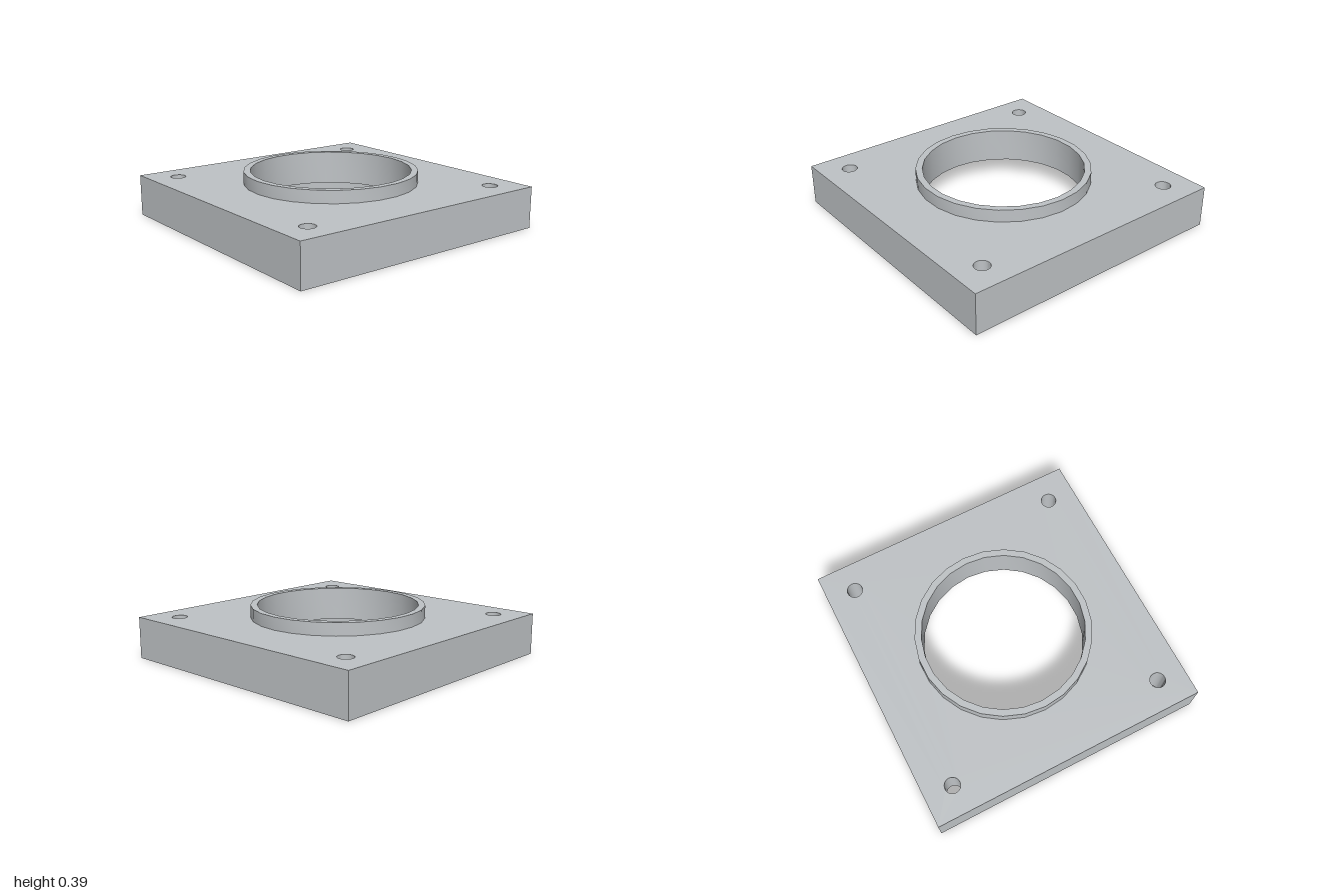
import * as THREE from 'three';
import { toCreasedNormals } from 'three/addons/utils/BufferGeometryUtils.js';

const SIDES = 26;
const TOP = 0.3, RECESS_TOP = 0.145, COLLAR_TOP = 0.39;
const COLLAR_R = 0.623, BORE_R = 0.575, RECESS_R = 0.86;
const BOLT_R = 0.055, BOLT_POS = 0.796;
const BOLTS = [[1, 1], [1, -1], [-1, 1], [-1, -1]].map(([x, z]) => [x * BOLT_POS, z * BOLT_POS]);

// square face with a centre opening and four bolt holes
function plateFace(openingRadius) {
  const shape = new THREE.Shape([[-1, -1], [1, -1], [1, 1], [-1, 1]].map(p => new THREE.Vector2(...p)));
  for (const [x, y, r] of [[0, 0, openingRadius], ...BOLTS.map(b => [...b, BOLT_R])]) {
    shape.holes.push(new THREE.Path().absarc(x, y, r, 0, Math.PI * 2, true));
  }
  return new THREE.ShapeGeometry(shape, SIDES / 2);
}

// turned surface, smooth around and sharp between steps
function turned(profile) {
  const points = profile.map(p => new THREE.Vector2(...p));
  return toCreasedNormals(new THREE.LatheGeometry(points, SIDES, Math.PI / 2), 0.5);
}

export function createModel() {
  const group = new THREE.Group();
  const metal = new THREE.MeshStandardMaterial({ color: 0xbfc3c6 });
  metal.name = 'grey metal';
  const add = (name, geometry) => {
    const mesh = new THREE.Mesh(geometry, metal);
    mesh.name = name;
    group.add(mesh);
    return mesh;
  };

  // plate faces
  add('plateTop', plateFace(COLLAR_R).rotateX(-Math.PI / 2).translate(0, TOP, 0));
  add('plateBottom', plateFace(RECESS_R).rotateX(Math.PI / 2));

  // plate edges
  for (let i = 0; i < 4; i++) {
    const edge = new THREE.PlaneGeometry(2, TOP).translate(0, TOP / 2, 1);
    add('plateEdge', edge.rotateY(i * Math.PI / 2));
  }

  // raised collar, through bore and underside recess in one profile
  add('collarAndBore', turned([
    [COLLAR_R, TOP], [COLLAR_R, COLLAR_TOP], [BORE_R, COLLAR_TOP],
    [BORE_R, RECESS_TOP], [RECESS_R, RECESS_TOP], [RECESS_R, 0],
  ]));

  // bolt hole walls
  for (const [x, z] of BOLTS) {
    add('boltHole', turned([[BOLT_R, TOP], [BOLT_R, 0]])).position.set(x, 0, z);
  }
  return group;
}
